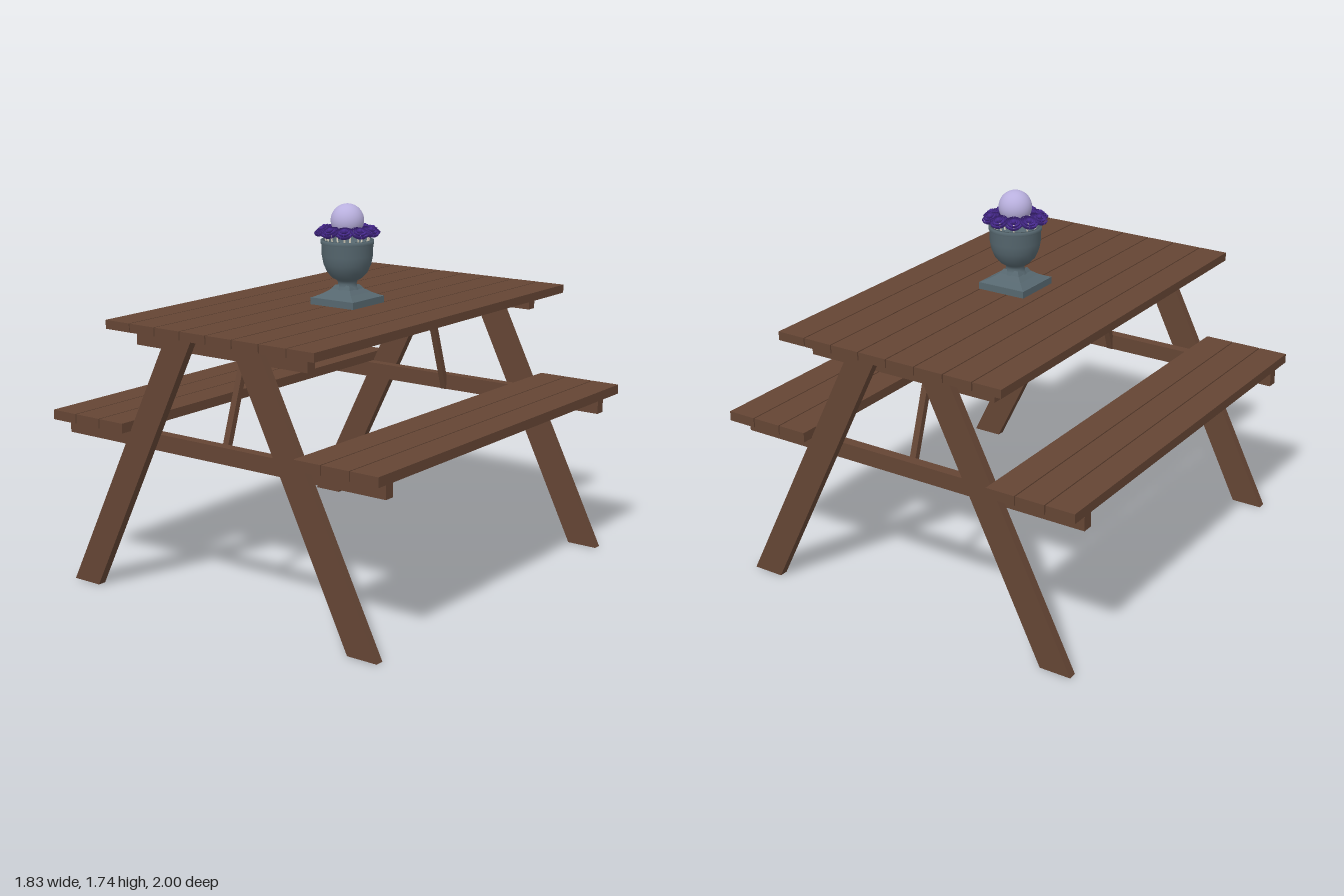
import * as THREE from 'three';

const material = (name, color, side = THREE.FrontSide) => {
  const m = new THREE.MeshStandardMaterial({ color, side });
  m.name = name;
  return m;
};

export function createModel() {
  const wood = material('brown wood', 0x644534);
  const stone = material('slate stone', 0x56676f);
  const purple = material('purple petals', 0x46298c, THREE.DoubleSide);
  const lavender = material('lavender', 0xb9b0de);
  const cream = material('cream stalks', 0xd8d2c0);

  const model = new THREE.Group();
  model.name = 'picnicTable';

  const add = (name, geometry, mat, parent = model) => {
    const mesh = new THREE.Mesh(geometry, mat);
    mesh.name = name;
    parent.add(mesh);
    return mesh;
  };
  // Box given by its limits on each axis
  const beam = (name, x0, x1, y0, y1, z0, z1, mat = wood, parent = model) => {
    const mesh = add(name, new THREE.BoxGeometry(x1 - x0, y1 - y0, z1 - z0), mat, parent);
    mesh.position.set((x0 + x1) / 2, (y0 + y1) / 2, (z0 + z1) / 2);
    return mesh;
  };
  // Flat outline extruded along z from 0 to depth
  const slab = (points, depth) => new THREE.ExtrudeGeometry(
    new THREE.Shape(points.map(([x, y]) => new THREE.Vector2(x, y))),
    { depth, bevelEnabled: false });

  // Table top and bench planks
  const planks = (name, start, count, y0, y1) => {
    for (let i = 0; i < count; i++) {
      const x = start + i * 0.1457;
      beam(name, x, x + 0.14, y0, y1, -1, 1);
    }
  };
  planks('tablePlank', -0.565, 8, 1.24, 1.28);
  planks('rightBenchPlank', -0.917, 3, 0.775, 0.82);
  planks('leftBenchPlank', 0.484, 3, 0.775, 0.82);

  // Board under the middle of the table
  beam('centreBoard', -0.055, 0.085, 1.197, 1.24, -0.86, 0.86);

  // The two trestles
  for (const s of [1, -1]) {
    const za = s > 0 ? 0.855 : -0.905;
    beam('topCrossbeam', -0.47, 0.488, 1.165, 1.24, za, za + 0.05);
    beam('benchCrossbeam', -0.907, 0.885, 0.697, 0.773, za, za + 0.05);

    const outline = [[0.72, 0], [0.872, 0], [0.257, 1.24], [0.11, 1.24]];
    for (const side of [1, -1]) {
      const leg = add(side > 0 ? 'leftLeg' : 'rightLeg',
        slab(outline.map(([x, y]) => [x * side, y]), 0.04), wood);
      leg.position.z = s > 0 ? 0.905 : -0.945;
    }

    // Sloping brace; its outline lies in the z-y plane
    const brace = add('brace', slab(
      [[0.85, 0.697], [0.88, 0.697], [0.715, 1.2], [0.685, 1.2]].map(([z, y]) => [-z * s, y]), 0.03), wood);
    brace.rotation.y = Math.PI / 2;
    brace.position.x = -0.02;
  }

  // Flower urn standing on the table
  const urn = new THREE.Group();
  urn.name = 'flowerUrn';
  urn.position.set(0.045, 1.28, 0.04);
  model.add(urn);
  const lathe = (points, segments) => new THREE.LatheGeometry(
    points.map(([r, y]) => new THREE.Vector2(r, y)), segments);

  beam('plinth', -0.122, 0.122, 0, 0.032, -0.122, 0.122, stone, urn);
  const flare = lathe([[0.165, 0.032], [0.11, 0.052], [0.075, 0.07], [0.055, 0.09]], 4).toNonIndexed();
  flare.computeVertexNormals();
  add('squareFoot', flare, stone, urn).rotation.y = Math.PI / 4;
  add('bowl', lathe([
    [0.062, 0.06], [0.048, 0.08], [0.042, 0.095], [0.048, 0.11], [0.07, 0.122],
    [0.094, 0.148], [0.11, 0.185], [0.118, 0.225], [0.119, 0.278], [0.123, 0.28],
    [0.123, 0.297], [0.108, 0.297], [0.104, 0.25], [0, 0.25]], 40), stone, urn);

  // Ring of open blossoms, each made of nested cupped petals
  const count = 10;
  for (let i = 0; i < count; i++) {
    const spoke = new THREE.Group();
    spoke.name = 'flower';
    spoke.rotation.y = (i / count) * Math.PI * 2 + 0.2;
    urn.add(spoke);

    const stalk = add('stalk', new THREE.CylinderGeometry(0.004, 0.004, 0.1, 6), cream, spoke);
    stalk.position.set(0.098, 0.285, 0);
    stalk.rotation.z = -0.25;

    const blossom = new THREE.Group();
    blossom.name = 'blossom';
    blossom.position.set(0.116, 0.343, 0);
    blossom.rotation.set(0, i * 1.3, 0);
    const tilt = new THREE.Group();
    tilt.name = 'blossomTilt';
    tilt.rotation.z = -0.4;
    tilt.position.copy(blossom.position);
    blossom.position.set(0, 0, 0);
    tilt.add(blossom);
    spoke.add(tilt);

    [0.042, 0.031, 0.02].forEach((r, layer) => {
      const petals = 5 - layer;
      for (let p = 0; p < petals; p++) {
        const arc = (Math.PI * 2) / petals;
        const geo = new THREE.SphereGeometry(r, 5, 4, 0, arc * 0.95, Math.PI * 0.45, Math.PI * 0.55);
        geo.scale(1, 0.65, 1);
        const petal = add('petal', geo, purple, blossom);
        petal.rotation.y = p * arc + layer * 0.6;
        petal.position.y = layer * 0.006;
      }
    });
    const bud = add('bud', new THREE.SphereGeometry(0.011, 8, 6), purple, blossom);
    bud.position.y = 0.008;
  }

  // Globe above the flowers
  const globe = add('globe', new THREE.SphereGeometry(0.077, 32, 24), lavender, urn);
  globe.position.y = 0.386;

  return model;
}
